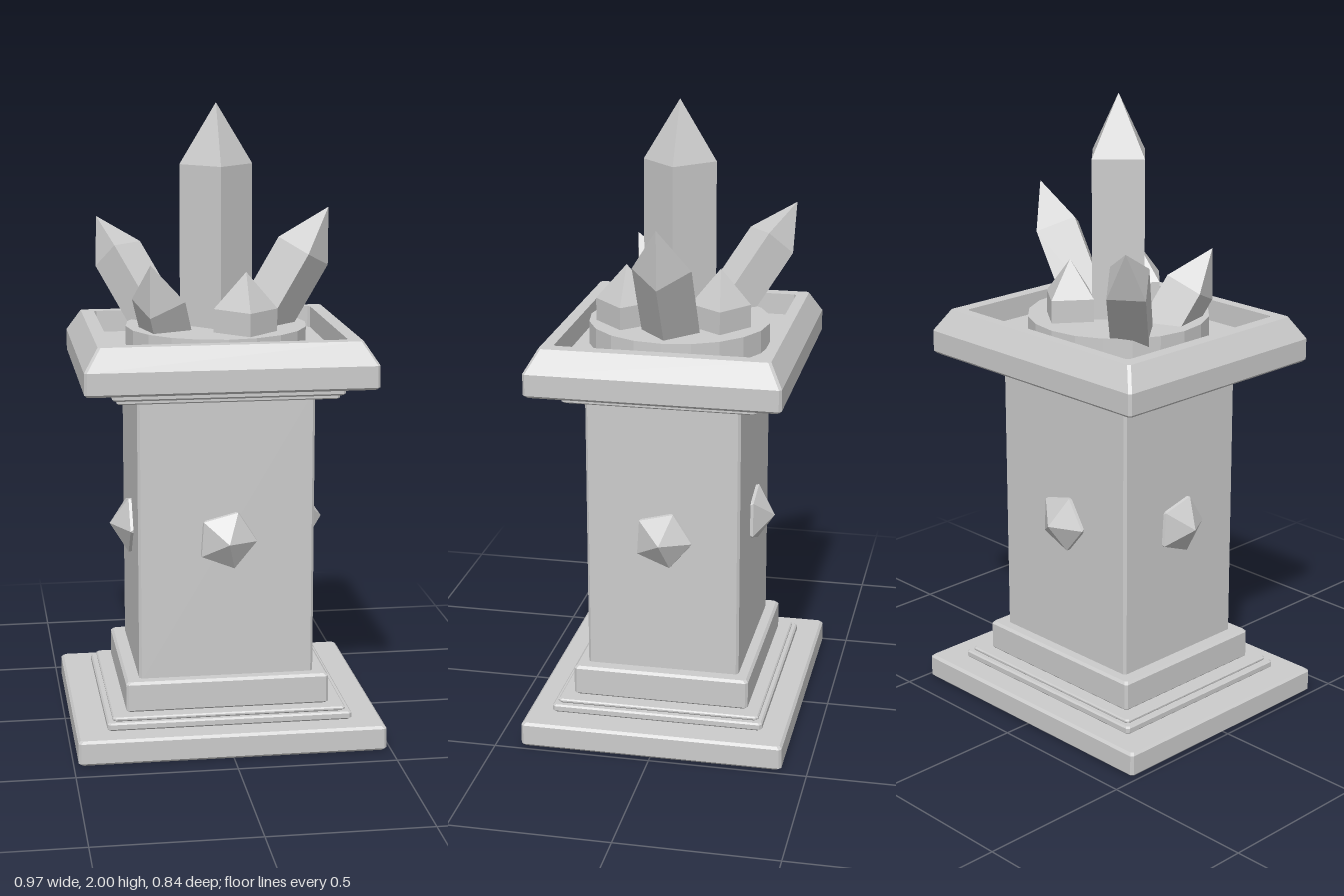
import * as THREE from 'three';

const material = new THREE.MeshStandardMaterial({ color: 0xcccccc, flatShading: true });

function add(parent, name, geometry) {
  const mesh = new THREE.Mesh(geometry, material);
  mesh.name = name;
  parent.add(mesh);
  return mesh;
}

// Rectangular rings [halfX, halfZ, y] with clipped corners, joined in order
function loft(rings) {
  const pos = [], index = [];
  for (const [x, z, y] of rings) {
    const c = Math.min(0.008, x);
    const corners = [[x, z - c], [x - c, z], [c - x, z], [-x, z - c],
      [-x, c - z], [c - x, -z], [x - c, -z], [x, c - z]];
    for (const [px, pz] of corners) pos.push(px, y, x === 0 ? 0 : pz);
  }
  for (let i = 0; i < rings.length - 1; i++) {
    for (let j = 0; j < 8; j++) {
      const a = i * 8 + j, b = i * 8 + (j + 1) % 8;
      index.push(a, a + 8, b, b, a + 8, b + 8);
    }
  }
  const g = new THREE.BufferGeometry();
  g.setAttribute('position', new THREE.Float32BufferAttribute(pos, 3));
  g.setIndex(index);
  const flat = g.toNonIndexed();
  flat.computeVertexNormals();
  return flat;
}

// Block with bevelled edges
function slab(x, z, y0, y1, b = 0.008) {
  return loft([[0, 0, y0], [x - b, z - b, y0], [x, z, y0 + b],
    [x, z, y1 - b], [x - b, z - b, y1], [0, 0, y1]]);
}

// Four-sided pointed crystal running from base to tip
function crystal(parent, name, base, tip, r, point, twist = 0) {
  const from = new THREE.Vector3(...base);
  const dir = new THREE.Vector3(...tip).sub(from);
  const len = dir.length();
  const profile = [[0, 0], [r, 0], [r, len - point], [0, len]].map(p => new THREE.Vector2(...p));
  const mesh = add(parent, name, new THREE.LatheGeometry(profile, 4));
  mesh.position.copy(from);
  mesh.quaternion.setFromUnitVectors(new THREE.Vector3(0, 1, 0), dir.normalize());
  mesh.rotateY(twist);
}

export function createModel() {
  const model = new THREE.Group();
  model.name = 'crystalPedestal';

  // Stepped foot and shaft
  add(model, 'basePlate', slab(0.485, 0.418, 0, 0.08));
  add(model, 'lowerMoulding', slab(0.388, 0.34, 0.08, 0.105, 0.005));
  add(model, 'lowerMouldingTop', slab(0.37, 0.325, 0.105, 0.118, 0.004));
  add(model, 'plinth', slab(0.323, 0.283, 0.115, 0.215));
  add(model, 'shaft', slab(0.278, 0.245, 0.2, 1.13));

  // Mouldings under the cap
  add(model, 'upperMouldingBottom', slab(0.345, 0.303, 1.112, 1.13, 0.004));
  add(model, 'upperMoulding', slab(0.36, 0.318, 1.125, 1.16, 0.006));

  // Cap with sloped rim and a recessed tray
  add(model, 'cap', loft([[0, 0, 1.155], [0.442, 0.387, 1.155], [0.45, 0.395, 1.163],
    [0.45, 0.395, 1.23], [0.405, 0.355, 1.3], [0.363, 0.318, 1.3],
    [0.363, 0.318, 1.23], [0, 0, 1.23]]));

  // Round seat for the crystals
  const disc = add(model, 'crystalSeat', new THREE.CylinderGeometry(0.288, 0.288, 0.082, 20));
  disc.position.y = 1.262;

  // Crystal cluster
  const cluster = new THREE.Group();
  cluster.name = 'crystalCluster';
  model.add(cluster);
  crystal(cluster, 'mainCrystal', [0, 1.25, 0], [0, 2, 0], 0.115, 0.19);
  crystal(cluster, 'leftCrystal', [0.1, 1.22, 0], [0.36, 1.67, 0], 0.092, 0.16);
  crystal(cluster, 'backRightCrystal', [-0.133, 1.22, -0.068], [-0.352, 1.615, -0.317], 0.083, 0.15, -0.1);
  crystal(cluster, 'frontRightCrystal', [-0.148, 1.22, 0.02], [-0.228, 1.52, 0.185], 0.088, 0.14, -0.46);
  crystal(cluster, 'frontCrystal', [0.07, 1.25, 0.155], [0.073, 1.49, 0.155], 0.1, 0.115);
  crystal(cluster, 'backCrystal', [0.07, 1.25, -0.143], [0.07, 1.49, -0.143], 0.094, 0.115, 0.15);

  // Faceted studs, one set into each shaft face with a vertex outward
  const stud = new THREE.IcosahedronGeometry(0.106, 0);
  stud.rotateX(Math.atan(2 / (1 + Math.sqrt(5))));
  stud.rotateZ(0.25);
  for (let i = 0; i < 4; i++) {
    const angle = i * Math.PI / 2;
    const depth = (i % 2 ? 0.278 : 0.245) - 0.038;
    const mesh = add(model, 'shaftStud', stud);
    mesh.position.set(Math.sin(angle) * depth, 0.66, Math.cos(angle) * depth);
    mesh.rotation.y = angle;
  }
  return model;
}
